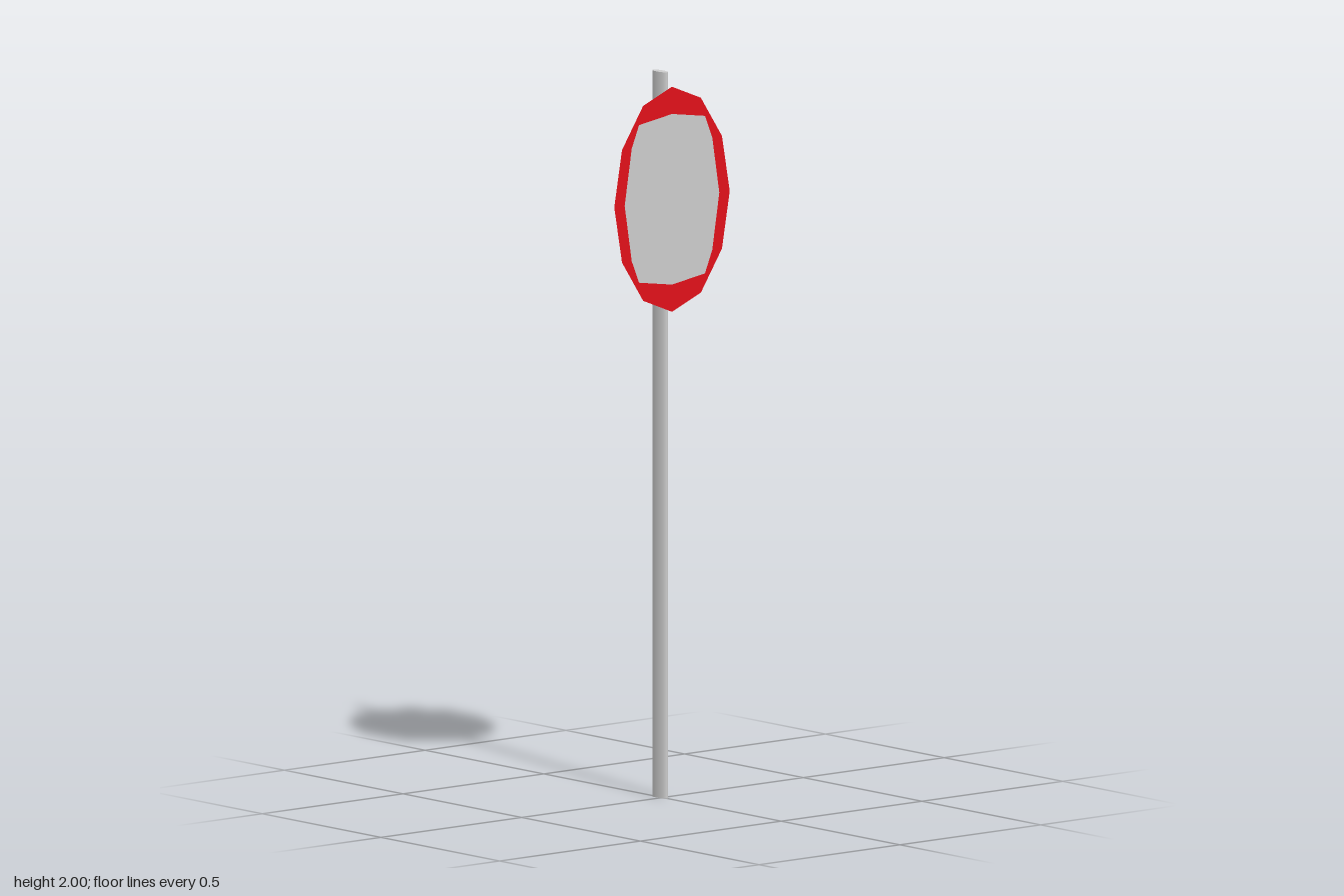
import * as THREE from 'three';

const CENTRE_Y = 1.653;
const FACE_X = 0.04;
const SIDES = 12;

const material = (color, extra = {}) => new THREE.MeshStandardMaterial({ color, ...extra });

// Twelve-sided oval as [z, y] pairs, starting at +z
function oval(rz, ry) {
  return Array.from({ length: SIDES }, (_, i) => {
    const a = (i / SIDES) * Math.PI * 2;
    return [rz * Math.cos(a), ry * Math.sin(a)];
  });
}

const toVectors = (pairs) => pairs.map(([u, v]) => new THREE.Vector2(u, v));

// Flat plate facing +x
function plate(name, shape, color) {
  const geometry = new THREE.ShapeGeometry(shape);
  geometry.rotateY(Math.PI / 2);
  geometry.translate(FACE_X, CENTRE_Y, 0);
  const mesh = new THREE.Mesh(geometry, material(color));
  mesh.name = name;
  return mesh;
}

// Faceted back, lofted through successive ovals towards the pole
function backShell() {
  const sections = [
    { x: FACE_X, rz: 0.205, ry: 0.31 },
    { x: 0.02, rz: 0.09, ry: 0.15 },
    { x: 0.006, rz: 0.012, ry: 0.21 },
  ];
  const positions = [];
  const index = [];
  sections.forEach(({ x, rz, ry }) => {
    oval(rz, ry).forEach(([z, y]) => positions.push(x, CENTRE_Y + y, z));
  });
  for (let s = 0; s < sections.length - 1; s++) {
    for (let i = 0; i < SIDES; i++) {
      const a = s * SIDES + i;
      const b = s * SIDES + ((i + 1) % SIDES);
      index.push(a, b, a + SIDES, b, b + SIDES, a + SIDES);
    }
  }
  const geometry = new THREE.BufferGeometry();
  geometry.setAttribute('position', new THREE.Float32BufferAttribute(positions, 3));
  geometry.setIndex(index);
  geometry.computeVertexNormals();
  const mesh = new THREE.Mesh(
    geometry,
    material(0xcccccc, { flatShading: true, side: THREE.DoubleSide }),
  );
  mesh.name = 'signBack';
  return mesh;
}

export function createModel() {
  const group = new THREE.Group();
  group.name = 'roadSign';

  // Oval pole
  const poleGeometry = new THREE.CylinderGeometry(1, 1, 2, 24);
  poleGeometry.scale(0.03, 1, 0.012);
  poleGeometry.translate(-0.01, 1, 0);
  const pole = new THREE.Mesh(poleGeometry, material(0xcccccc));
  pole.name = 'pole';
  group.add(pole);

  // Inner panel outline: one quarter mirrored to all four
  const quarter = [[0.168, 0], [0.143, 0.155], [0.117, 0.217], [0, 0.235]];
  const upper = [...quarter, ...quarter.slice(0, 3).reverse().map(([z, y]) => [-z, y])];
  const lower = upper.slice(1, -1).reverse().map(([z, y]) => [z, -y]);
  const panelOutline = toVectors([...upper, ...lower]);

  // Red border around the grey panel
  const border = new THREE.Shape(toVectors(oval(0.205, 0.31)));
  border.holes.push(new THREE.Path(panelOutline));
  group.add(plate('signBorder', border, 0xe0101a));
  group.add(plate('signPanel', new THREE.Shape(panelOutline), 0xcccccc));

  group.add(backShell());
  return group;
}
